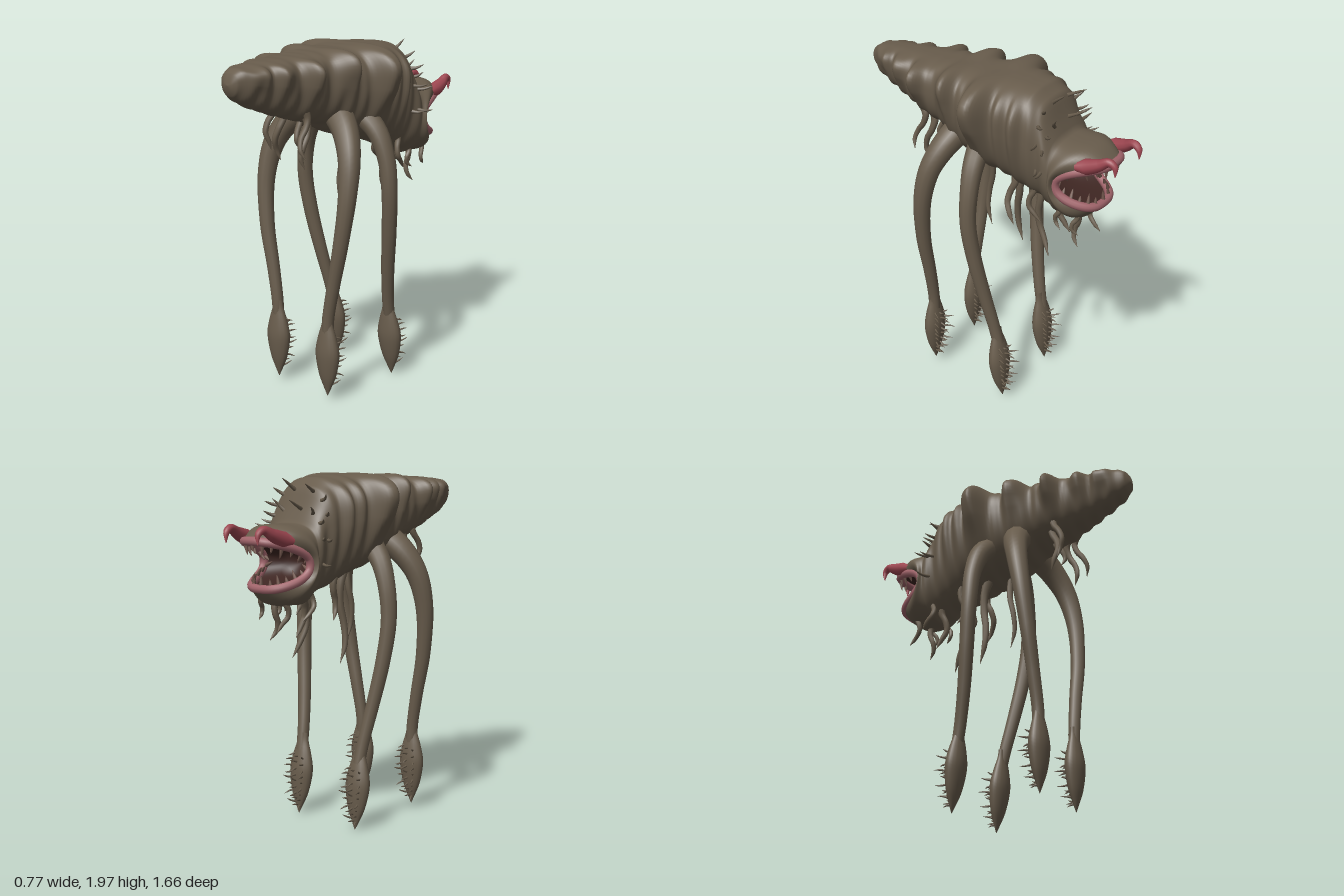
import * as THREE from 'three';

const mat = (name, color, side = THREE.FrontSide) => {
  const m = new THREE.MeshStandardMaterial({ color, side });
  m.name = name;
  return m;
};
const V = (x, y, z) => new THREE.Vector3(x, y, z);
const spow = (v, p) => Math.sign(v) * Math.abs(v) ** p;
const gauss = (d, s) => Math.exp(-(d * d) / (2 * s * s));
const knob = (d, s) => Math.exp(-(Math.abs(d / (1.5 * s)) ** 2.6));
const SEG = 72;

// Body stations: z, top, bottom, half width
const STATIONS = [
  [0.82, 1.86, 1.82, 0.03], [0.81, 1.9, 1.79, 0.055], [0.77, 1.925, 1.755, 0.085], [0.68, 1.935, 1.71, 0.1],
  [0.55, 1.945, 1.66, 0.13], [0.4, 1.95, 1.61, 0.175], [0.25, 1.955, 1.57, 0.2], [0.1, 1.96, 1.49, 0.24],
  [-0.06, 1.965, 1.45, 0.27], [-0.2, 1.965, 1.4, 0.25], [-0.32, 1.95, 1.35, 0.225], [-0.39, 1.9, 1.33, 0.21],
  [-0.43, 1.8, 1.31, 0.205], [-0.47, 1.715, 1.28, 0.212],
];
// Side lumps: z, angle, height, z spread
const LUMPS = [
  [0.68, 0.35, 0.04, 0.032], [0.55, 0.35, 0.05, 0.032], [0.39, 0.35, 0.085, 0.032], [0.17, 0.5, 0.075, 0.035],
  [-0.055, 0.32, 0.11, 0.045], [-0.2, 0.35, 0.03, 0.025], [-0.28, 0.25, 0.035, 0.022], [0.29, 0.9, 0.012, 0.02],
  [-0.06, 0.9, 0.035, 0.045], [0.17, 0.95, 0.03, 0.035],
];

function station(z) {
  let i = 0;
  while (i < STATIONS.length - 2 && z < STATIONS[i + 1][0]) i++;
  const a = STATIONS[i], b = STATIONS[i + 1];
  const t = THREE.MathUtils.clamp((a[0] - z) / (a[0] - b[0]), 0, 1);
  return a.map((v, k) => v + (b[k] - v) * t);
}

function bodyPoint(z, a) {
  const [, top, bottom, w] = station(z);
  const c = Math.cos(a), s = Math.sin(a);
  const cy = bottom + (top - bottom) * 0.58;
  const p = s > 0
    ? V(w * spow(c, 0.7), cy + (top - cy) * s ** 0.75, z)
    : V(w * spow(c, 0.8), cy + (cy - bottom) * s, z);
  const side = Math.atan2(s, Math.abs(c));
  const flank = 1 - THREE.MathUtils.smoothstep(side, 0.6, 1.2);
  let push = (0.0015 + 0.005 * flank) * Math.sin(z * 75 + 3 * c);
  for (const [lz, la, h, sz] of LUMPS) push += h * knob(z - lz, sz) * (gauss(side - la, 0.36) + 0.1 * flank);
  push *= THREE.MathUtils.clamp((0.82 - z) / 0.06, 0, 1);
  return p.add(V(c * push, s * push * 0.6, 0));
}

// Gaping mouth edge, with the corners set back
function rimPoint(a) {
  const c = Math.cos(a), s = Math.sin(a);
  return V(0.19 * spow(c, 0.7), 1.505 + 0.14 * spow(s, 0.65), -0.5 - (s > 0 ? 0.245 : 0.19) * Math.abs(s) ** 1.5);
}

function headPoint(t, a) {
  const c = Math.cos(a), s = Math.sin(a);
  const p = bodyPoint(-0.47, a).lerp(rimPoint(a), t);
  const bulge = Math.sin(Math.PI * t ** 1.5);
  return p.add(V(c * bulge * 0.03, s * bulge * (s > 0 ? 0.035 : 0.045), 0));
}

// Skin over closed rings
function loft(rings) {
  const pos = [], idx = [];
  rings.forEach((r) => r.forEach((p) => pos.push(p.x, p.y, p.z)));
  for (let j = 0; j < rings.length - 1; j++) {
    for (let i = 0; i < SEG; i++) {
      const n = (i + 1) % SEG;
      const a = j * SEG + i, b = a + SEG, c = j * SEG + n, d = c + SEG;
      idx.push(a, b, c, b, d, c);
    }
  }
  const g = new THREE.BufferGeometry();
  g.setAttribute('position', new THREE.Float32BufferAttribute(pos, 3));
  g.setIndex(idx);
  g.computeVertexNormals();
  return g;
}
const ring = (fn) => Array.from({ length: SEG }, (_, i) => fn((i / SEG) * Math.PI * 2));

// Tube whose radius follows a list of values
function taperTube(points, radii, seg = 20, sides = 8) {
  const curve = new THREE.CatmullRomCurve3(points);
  const g = new THREE.TubeGeometry(curve, seg, 1, sides);
  const pos = g.attributes.position, v = V(0, 0, 0);
  for (let i = 0; i < pos.count; i++) {
    const t = Math.floor(i / (sides + 1)) / seg;
    const f = t * (radii.length - 1), k = Math.min(Math.floor(f), radii.length - 2);
    const r = THREE.MathUtils.lerp(radii[k], radii[k + 1], f - k);
    const c = curve.getPointAt(t);
    v.fromBufferAttribute(pos, i).sub(c).multiplyScalar(r).add(c);
    pos.setXYZ(i, v.x, v.y, v.z);
  }
  return g;
}

export function createModel() {
  const root = new THREE.Group();
  const hide = mat('brown hide', 0x685c4c);
  const pink = mat('pink lip', 0xa0646a);
  const red = mat('red horn', 0x9c4650);
  const gum = mat('dark mouth', 0x3e2622, THREE.DoubleSide);
  const tooth = mat('tooth', 0x75594f);
  const add = (name, geo, material, parent = root) => {
    const m = new THREE.Mesh(geo, material);
    m.name = name;
    parent.add(m);
    return m;
  };
  // Curved spike from base along dir, bending towards bend
  const spike = (name, base, dir, len, r, material, bend = V(0, 0, 0), parent = root) => {
    const d = dir.clone().normalize().multiplyScalar(len);
    const pts = [base.clone().addScaledVector(d, -0.15), base.clone().addScaledVector(d, 0.5), base.clone().add(d).add(bend)];
    add(name, taperTube(pts, [r, r * 0.75, r * 0.55, 0.001], 6, 6), material, parent);
  };

  // Body and head as one skin, closed at the tail
  const rings = [ring(() => V(0, 1.845, 0.824))];
  for (let j = 0; j <= 120; j++) rings.push(ring((a) => bodyPoint(0.82 - (1.29 * j) / 120, a)));
  for (let j = 1; j <= 14; j++) rings.push(ring((a) => headPoint(j / 14, a)));
  add('body', loft(rings), hide);

  // Mouth lining and lip
  const lining = [0, 0.25, 0.5, 0.75, 1].map((t) => ring((a) => rimPoint(a)
    .lerp(V(Math.cos(a) * 0.1, 1.5 + Math.sin(a) * 0.07, -0.4), t)));
  lining.push(ring(() => V(0, 1.5, -0.38)));
  add('mouthLining', loft(lining), gum);
  const lipPoint = (a) => rimPoint(a).add(V(-0.012 * Math.cos(a), -0.014 * Math.sin(a), -0.002));
  const rim = new THREE.CatmullRomCurve3(ring(lipPoint), true);
  add('lip', new THREE.TubeGeometry(rim, 96, 0.024, 10, true), pink);

  // Teeth around the lip
  for (let i = 0; i < 26; i++) {
    const p = lipPoint(((i + 0.5) / 26) * Math.PI * 2);
    const dir = V(-p.x * 0.4, (1.5 - p.y) * 1.2, 0.01).normalize();
    spike('tooth', p.addScaledVector(dir, 0.018), dir, i % 2 ? 0.055 : 0.035, 0.013, tooth);
  }

  for (const s of [1, -1]) {
    // Hooked horns on the upper lip
    add('horn', taperTube([V(s * 0.15, 1.63, -0.61), V(s * 0.143, 1.645, -0.67), V(s * 0.135, 1.67, -0.735),
      V(s * 0.125, 1.695, -0.785), V(s * 0.12, 1.675, -0.815), V(s * 0.12, 1.62, -0.82)],
    [0.025, 0.042, 0.036, 0.025, 0.018, 0.002], 30, 10), red);

    // Long legs, rooted inside the flanks
    add('frontLeg', taperTube([V(s * 0.08, 1.62, 0), V(s * 0.17, 1.58, -0.02), V(s * 0.25, 1.5, -0.035),
      V(s * 0.305, 1.36, -0.045), V(s * 0.325, 1.18, -0.05), V(s * 0.305, 0.95, -0.075), V(s * 0.265, 0.7, -0.115),
      V(s * 0.235, 0.5, -0.155), V(s * 0.225, 0.38, -0.18)],
    [0.075, 0.06, 0.05, 0.045, 0.043, 0.041, 0.038, 0.035, 0.033], 44, 12), hide);
    add('rearLeg', taperTube([V(s * 0.05, 1.65, 0.12), V(s * 0.13, 1.61, 0.15), V(s * 0.22, 1.53, 0.19),
      V(s * 0.285, 1.41, 0.235), V(s * 0.31, 1.22, 0.275), V(s * 0.285, 0.95, 0.3), V(s * 0.235, 0.7, 0.305),
      V(s * 0.2, 0.5, 0.31), V(s * 0.195, 0.38, 0.31)],
    [0.09, 0.075, 0.062, 0.052, 0.045, 0.041, 0.037, 0.034, 0.033], 44, 12), hide);

    // Spindle feet with bristles on the forward face
    for (const [name, x, y, z, tilt] of [['frontFoot', 0.222, 0.005, -0.21, 0.09], ['rearFoot', 0.195, 0.035, 0.312, 0]]) {
      const foot = new THREE.Group();
      foot.name = name;
      foot.position.set(s * x, y, z);
      foot.rotation.x = tilt;
      root.add(foot);
      const curve = new THREE.SplineCurve([[0.001, 0], [0.025, 0.05], [0.055, 0.12], [0.075, 0.21], [0.078, 0.28],
        [0.06, 0.36], [0.038, 0.43], [0.033, 0.48]].map(([r, h]) => new THREE.Vector2(r, h)));
      add('footPad', new THREE.LatheGeometry(curve.getPoints(24), 18), hide, foot).scale.z = 0.62;
      for (let r = 0; r < 9; r++) {
        for (let c = -1; c <= 1; c++) {
          const h = 0.055 + r * 0.036 + c * 0.011;
          const w = 0.073 * gauss(h - 0.25, 0.12);
          spike('bristle', V(c * w * 0.6, h, -w * (c ? 0.48 : 0.6)), V(c * 0.45, 0.3 * Math.sin(r * 2 + c), -1),
            0.05 + 0.017 * Math.sin(r * 3 + c), 0.008, hide, V(0, 0.008 * Math.sin(r * 5 + c), 0), foot);
        }
      }
    }
  }

  // Dangling tentacles: start, then tip, then thickness
  const TENTACLES = [
    [-0.04, 1.43, -0.1, -0.05, 0.92, -0.15, 0.022], [0.04, 1.36, -0.3, 0.055, 0.97, -0.38, 0.02],
    [0.04, 1.5, 0.03, 0.02, 1.02, 0.0, 0.018], [0.12, 1.42, -0.2, 0.18, 1.18, -0.23, 0.019],
    [-0.1, 1.42, -0.22, -0.11, 1.18, -0.27, 0.019], [-0.06, 1.32, -0.4, -0.02, 1.1, -0.45, 0.019],
    [0.08, 1.32, -0.45, 0.12, 1.2, -0.5, 0.015], [-0.12, 1.35, -0.42, -0.13, 1.2, -0.49, 0.015],
    [0.03, 1.29, -0.53, 0.04, 1.09, -0.58, 0.017], [-0.07, 1.3, -0.56, -0.08, 1.15, -0.62, 0.015],
    [0.1, 1.32, -0.57, 0.11, 1.2, -0.61, 0.014], [0.13, 1.4, -0.32, 0.15, 1.22, -0.37, 0.016],
    [0.08, 1.62, 0.37, 0.12, 1.35, 0.39, 0.019], [-0.08, 1.62, 0.37, -0.11, 1.36, 0.38, 0.019],
    [0.12, 1.64, 0.4, 0.15, 1.42, 0.44, 0.017], [-0.12, 1.64, 0.4, -0.14, 1.42, 0.43, 0.017],
    [0.01, 1.62, 0.34, 0.02, 1.45, 0.35, 0.017],
  ];
  TENTACLES.forEach(([x, y, z, ex, ey, ez, r], i) => {
    const pts = [0, 0.2, 0.4, 0.6, 0.8, 1].map((t) => {
      const sway = Math.sin(t * Math.PI * 2 + (i % 2) * 1.2);
      return V(x + (ex - x) * t + Math.sin(t * 6 + i) * 0.016 * t, y + (ey - y) * t + 0.04 * (1 - t),
        z + (ez - z) * t - 0.025 * sway);
    });
    add('tentacle', taperTube(pts, [r * 1.5, r * 1.1, r, r * 0.95, r * 0.85, r * 0.7, 0.001], 28), hide);
  });

  // Collar of curling thorns behind the head
  for (let row = 0; row < 2; row++) {
    for (let i = 0; i < 9; i++) {
      const a = -0.3 + (i + row * 0.5) * 0.44;
      const c = Math.cos(a), s = Math.sin(a);
      spike('thorn', bodyPoint(-0.395 - row * 0.04, a), V(c, s * 0.35, -0.5 + 0.35 * Math.sin(i * 2.3 + row)),
        0.07 + 0.02 * Math.sin(i * 1.7 + row), 0.012, hide, V(0, 0.012, -0.02 * s));
    }
  }
  return root;
}
